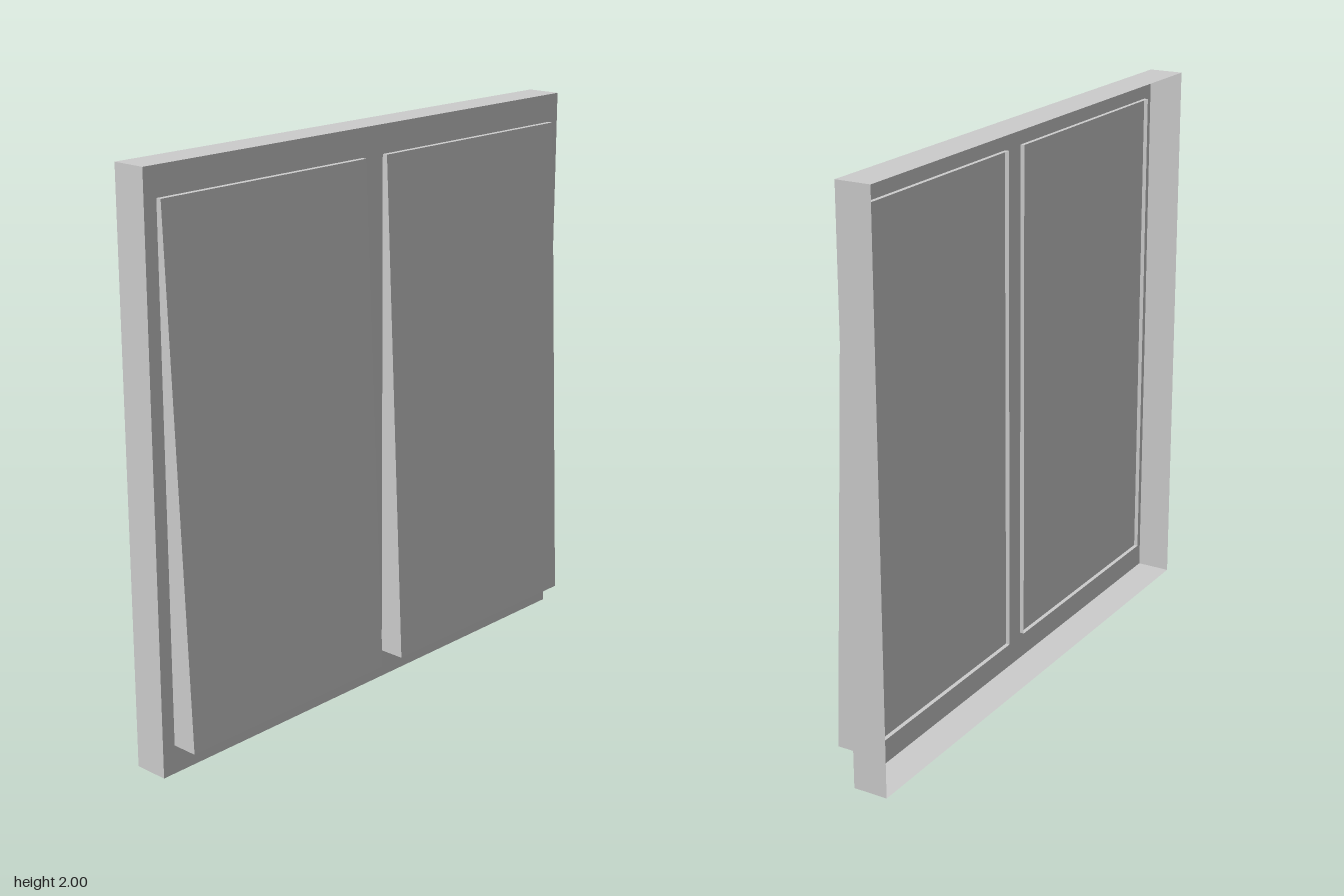
import * as THREE from 'three';

// Box shell without its back face; the front may lean between two depths
function openBackBox(width, y0, y1, zBack, zFrontBottom, zFrontTop) {
  const g = new THREE.BoxGeometry(width, y1 - y0, 1);
  g.setIndex(Array.from(g.index.array).slice(0, 30)); // the last face is the back
  g.clearGroups();
  g.translate(0, (y0 + y1) / 2, 0);
  const p = g.attributes.position;
  for (let i = 0; i < p.count; i++) {
    const front = p.getY(i) > (y0 + y1) / 2 ? zFrontTop : zFrontBottom;
    p.setZ(i, p.getZ(i) > 0 ? front : zBack);
  }
  g.computeVertexNormals();
  return g;
}

export function createModel() {
  const model = new THREE.Group();
  model.name = 'doublePanel';
  const grey = new THREE.MeshStandardMaterial({ color: 0xcccccc, side: THREE.DoubleSide });
  grey.name = 'light grey';

  // Shallow tray, open at the back
  const tray = new THREE.Mesh(openBackBox(2, 0, 2, -0.11, 0.015, 0.015), grey);
  tray.name = 'backTray';
  model.add(tray);

  // Two leaning panels, whose rims pass slightly through the tray face
  const panelGeometry = openBackBox(0.9, 0.1, 1.9, 0, 0.11, 0.034);
  for (const side of [-1, 1]) {
    const panel = new THREE.Mesh(panelGeometry, grey);
    panel.name = side > 0 ? 'leftPanel' : 'rightPanel';
    panel.position.x = side * 0.5;
    model.add(panel);
  }
  return model;
}
